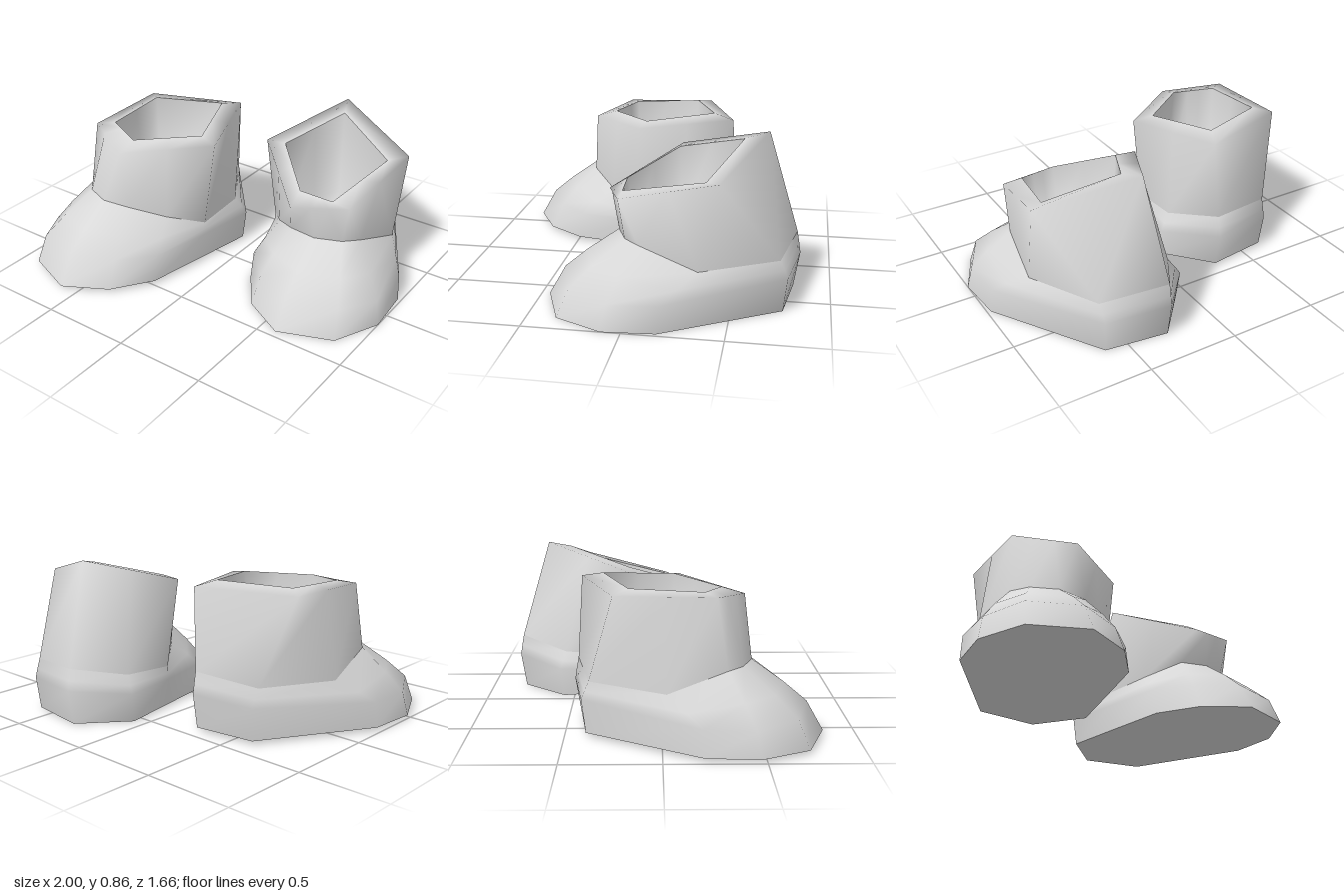
import * as THREE from 'three';

// Shared foot rings for one boot, [x, y, z], starting at the toe and running counterclockwise from above
const SOLE = [[-.59, .02, .83], [-.35, .02, .70], [-.20, .02, .49], [-.13, .02, .13], [-.07, .02, -.19],
  [-.28, .02, -.435], [-.62, .02, -.39], [-.98, .02, .20], [-1, .02, .47], [-.88, .02, .72]];
const WELT = [[-.59, .18, .74], [-.36, .17, .63], [-.20, .17, .46], [-.125, .17, .13], [-.06, .18, -.21],
  [-.28, .21, -.465], [-.63, .20, -.41], [-.97, .16, .19], [-.975, .15, .45], [-.86, .17, .66]];
const ANKLE = [[-.58, .40, .455], [-.42, .395, .43], [-.26, .32, .29], [-.12, .25, .12], [-.12, .27, -.18],
  [-.28, .33, -.445], [-.64, .30, -.37], [-.83, .29, .02], [-.79, .395, .32], [-.72, .40, .40]];
const N = SOLE.length;
const FLOOR_HEIGHT = .36;

const mix = (p, q, h, v = h) => [p[0] + (q[0] - p[0]) * h, p[1] + (q[1] - p[1]) * v, p[2] + (q[2] - p[2]) * h];

// Spread five rim corners (front, outer front, outer back, back, inner) over the ten ring points
function rimRing([a, b, c, d, e]) {
  return [mix(a, b, .35), a, mix(a, e, .5), e, mix(e, d, .5), d, c, mix(c, b, .5), b, mix(b, a, .35)];
}

// Smooth skin through a stack of rings, with an optional cap on the last ring
function loft(rings, capCentre) {
  const points = rings.flat();
  const index = [];
  for (let j = 0; j < rings.length - 1; j++) {
    for (let i = 0; i < N; i++) {
      const a = j * N + i, b = j * N + (i + 1) % N;
      index.push(a, b, b + N, a, b + N, a + N);
    }
  }
  if (capCentre) {
    const top = (rings.length - 1) * N;
    for (let i = 0; i < N; i++) index.push(top + i, top + (i + 1) % N, points.length);
    points.push(capCentre);
  }
  const g = new THREE.BufferGeometry();
  g.setAttribute('position', new THREE.Float32BufferAttribute(points.flat(), 3));
  g.setIndex(index);
  g.computeVertexNormals();
  return g;
}

function makeBoot(name, outerCorners, innerCorners, place, mirrored, material) {
  // Mirrored rings are reversed so that the faces keep pointing outward
  const placed = ring => (mirrored ? [...ring].reverse() : ring).map(place);
  const innerRim = rimRing(innerCorners);
  const floorCentre = [-.46, FLOOR_HEIGHT, .05];
  const sole = placed(SOLE);
  const ankle = placed(ANKLE);
  const inner = placed(innerRim);
  const instep = placed(WELT.map((p, i) => mix(p, ANKLE[i], .42, .46)));
  const floor = placed(innerRim.map(p => mix(p, floorCentre, .1, 1)));

  const boot = new THREE.Group();
  boot.name = name;
  const add = (part, geometry) => {
    const mesh = new THREE.Mesh(geometry, material);
    mesh.name = part;
    boot.add(mesh);
  };
  add('foot', loft([sole, placed(WELT), instep, ankle]));
  add('shaftAndRim', loft([ankle, placed(rimRing(outerCorners)), inner]));
  add('lining', loft([inner, floor], place(floorCentre)));
  add('sole', loft([[...sole].reverse()], place([-.53, .02, .2])));
  return boot;
}

export function createModel() {
  const leather = new THREE.MeshStandardMaterial({ color: 0xd8d8d8 });
  leather.name = 'pale grey leather';
  const model = new THREE.Group();
  model.name = 'pairOfBoots';

  // Upright boot
  model.add(makeBoot('rightBoot',
    [[-.465, .715, .425], [-.77, .755, .265], [-.775, .765, -.24], [-.25, .77, -.42], [-.06, .745, .10]],
    [[-.465, .75, .305], [-.68, .765, .21], [-.685, .785, -.166], [-.305, .795, -.305], [-.17, .765, .07]],
    p => p, false, leather));

  // Mirrored boot, set further back, with its shaft slumped forward
  model.add(makeBoot('leftBoot',
    [[-.47, .58, .525], [-.765, .62, .425], [-.84, .74, -.08], [-.34, .88, -.285], [-.10, .74, .19]],
    [[-.47, .64, .43], [-.66, .63, .42], [-.75, .72, -.005], [-.39, .85, -.16], [-.22, .75, .19]],
    ([x, y, z]) => [-x, y - .02, z - .37], true, leather));
  return model;
}
